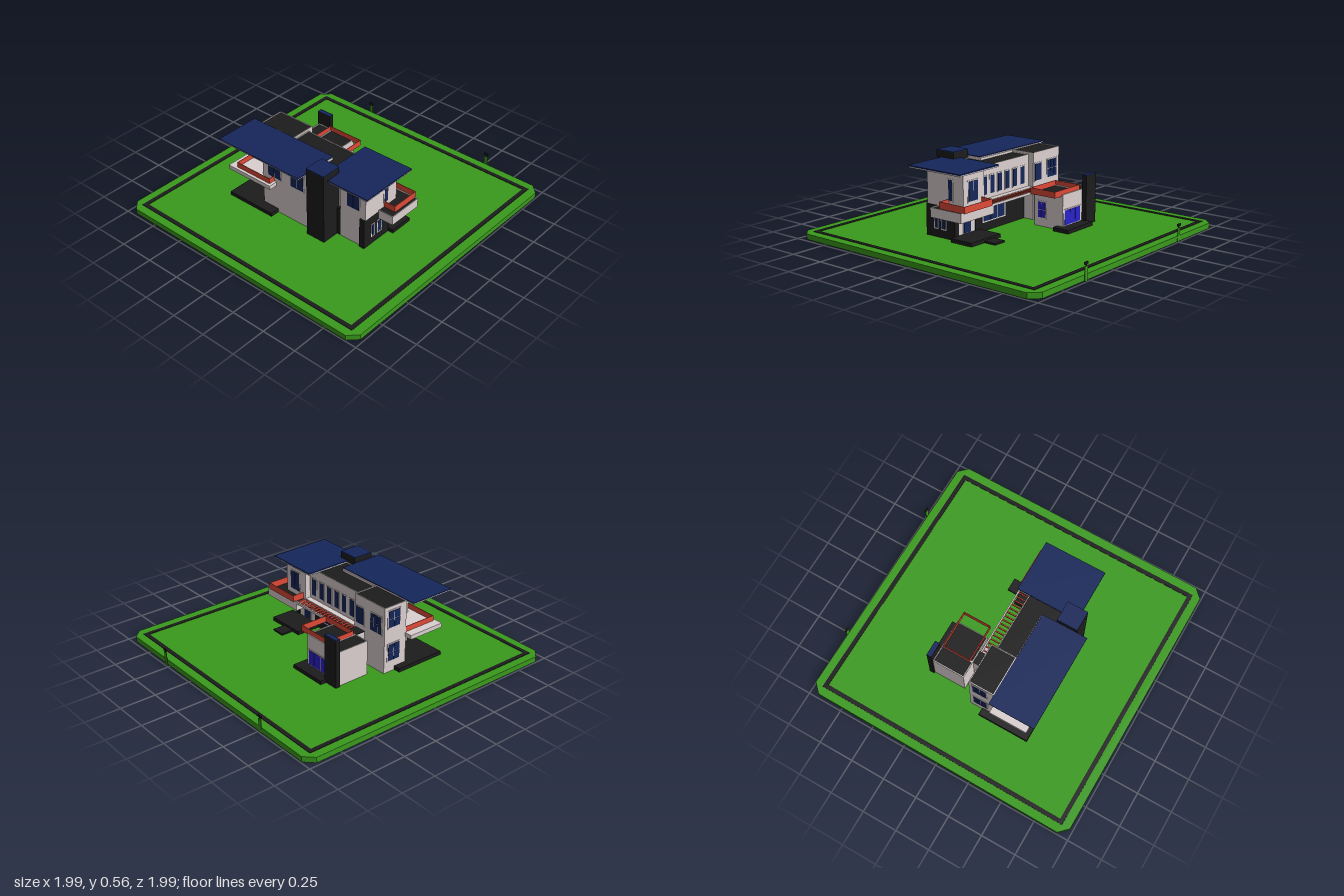
import * as THREE from 'three';

const paint = (color) => new THREE.MeshStandardMaterial({ color, side: THREE.DoubleSide });

export function createModel() {
  const model = new THREE.Group();
  model.name = 'villa';
  const green = paint(0x3a9a1c), navy = paint(0x15265a), black = paint(0x1c1c1c);
  const wall = paint(0xdcd0d0), red = paint(0xe04a38), blue = paint(0x2a22cc);

  // Box given by its limits on each axis
  function block(name, mat, x0, x1, y0, y1, z0, z1, parent = model) {
    const mesh = new THREE.Mesh(new THREE.BoxGeometry(x1 - x0, y1 - y0, z1 - z0), mat);
    mesh.position.set((x0 + x1) / 2, (y0 + y1) / 2, (z0 + z1) / 2);
    mesh.name = name;
    parent.add(mesh);
    return mesh;
  }

  // Open rectangular ring of thin walls
  function ring(name, mat, x0, x1, y0, y1, z0, z1, t, parent = model) {
    const g = new THREE.Group();
    g.name = name;
    block('side', mat, x0, x0 + t, y0, y1, z0, z1, g);
    block('side', mat, x1 - t, x1, y0, y1, z0, z1, g);
    block('end', mat, x0 + t, x1 - t, y0, y1, z0, z0 + t, g);
    block('end', mat, x0 + t, x1 - t, y0, y1, z1 - t, z1, g);
    parent.add(g);
  }

  // Framed window; face is the wall normal axis, dir its sign, at its position
  function pane(face, dir, at, u0, u1, y0, y1, cols = 1, rows = 1, mat = navy) {
    const g = new THREE.Group();
    g.name = 'window';
    const add = (name, m, a, b, c, d, out) => {
      const p = Math.min(at, at + dir * out), q = Math.max(at, at + dir * out);
      if (face === 'x') block(name, m, p, q, c, d, a, b, g);
      else block(name, m, a, b, c, d, p, q, g);
    };
    const f = 0.006, w = (u1 - u0) / cols, h = (y1 - y0) / rows;
    add('frame', wall, u0 - f, u1 + f, y0 - f, y1 + f, 0.003);
    for (let i = 0; i < cols; i++)
      for (let j = 0; j < rows; j++)
        add('glass', mat, u0 + i * w + 0.002, u0 + (i + 1) * w - 0.002,
          y0 + j * h + 0.002, y0 + (j + 1) * h - 0.002, 0.005);
    model.add(g);
  }

  // Flat roof: dark deck inside a pale rim
  function deck(x0, x1, y, z0, z1) {
    block('roofDeck', black, x0 + 0.006, x1 - 0.006, y, y + 0.002, z0 + 0.006, z1 - 0.006);
    ring('roofRim', wall, x0, x1, y, y + 0.008, z0, z1, 0.006);
  }

  // Ground slab with cut corners, and the dark border strip
  const ground = new THREE.Group();
  ground.name = 'ground';
  ground.rotation.y = -0.008;
  const s = 0.987, c = 0.925;
  const outline = new THREE.Shape([[-s, -c], [-c, -s], [c, -s], [s, -c], [s, c], [c, s], [-c, s], [-s, c]]
    .map(([x, y]) => new THREE.Vector2(x, y)));
  const lawn = new THREE.Mesh(
    new THREE.ExtrudeGeometry(outline, { depth: 0.038, bevelEnabled: false }).rotateX(-Math.PI / 2), green);
  lawn.position.y = 0.002;
  lawn.name = 'lawn';
  ground.add(lawn);
  ring('border', black, -0.93, 0.93, 0.035, 0.043, -0.93, 0.925, 0.03, ground);
  model.add(ground);

  // Flat lamp posts on the edge
  for (const z of [0.53, -0.515]) {
    block('lampPost', green, 0.99, 0.994, 0, 0.095, z - 0.014, z + 0.014);
    block('lampNeck', black, 0.99, 0.994, 0.095, 0.106, z - 0.007, z + 0.007);
    block('lampCap', black, 0.988, 0.996, 0.106, 0.122, z - 0.017, z + 0.017);
  }

  // Paved pads and steps
  block('frontPad', black, -0.065, 0.11, 0.03, 0.066, 0.245, 0.53);
  block('frontStep', black, 0.11, 0.2, 0.03, 0.052, 0.31, 0.405);
  block('sidePad', black, 0.285, 0.41, 0.03, 0.066, -0.37, -0.09);
  block('backPad', black, -0.45, -0.08, 0.03, 0.066, -0.57, -0.19);

  // Ground floor of the main house
  block('hallWall', black, -0.3, -0.068, 0, 0.25, -0.23, 0.285);
  block('frontRoom', wall, -0.3, -0.07, 0, 0.255, 0.285, 0.45);
  block('frontRoomWall', black, -0.312, -0.065, 0, 0.258, 0.45, 0.49);
  pane('x', 1, -0.068, -0.015, 0.21, 0.105, 0.21, 3);
  pane('x', 1, -0.07, 0.33, 0.4, 0.066, 0.185);
  pane('z', 1, 0.49, -0.237, -0.212, 0.1, 0.19);
  pane('z', 1, 0.49, -0.178, -0.142, 0.1, 0.19);

  // Upper corridor with its row of windows and shelf
  block('corridor', wall, -0.28, -0.03, 0.25, 0.487, -0.23, 0.285);
  deck(-0.28, -0.03, 0.487, -0.23, 0.22);
  block('shelf', wall, -0.07, 0.01, 0.25, 0.272, -0.23, 0.3);
  for (let i = 0; i < 6; i++) {
    const z = 0.238 - i * 0.079;
    pane('x', 1, -0.03, z - 0.022, z + 0.022, 0.3, 0.423);
  }

  // Upper front room and its roof
  block('upperFrontRoom', wall, -0.3, 0.01, 0.255, 0.492, 0.285, 0.49);
  pane('x', 1, 0.01, 0.35, 0.445, 0.3, 0.435, 2);
  pane('z', 1, 0.49, -0.115, -0.08, 0.3, 0.44);
  pane('x', -1, -0.3, 0.34, 0.44, 0.31, 0.43, 2);
  block('frontRoofSoffit', wall, -0.388, 0.053, 0.492, 0.5, 0.19, 0.57);
  block('frontRoof', navy, -0.39, 0.055, 0.5, 0.508, 0.188, 0.572);

  // Front terrace
  block('terrace', wall, -0.17, 0.09, 0.205, 0.262, 0.285, 0.605);
  deck(-0.17, 0.09, 0.262, 0.285, 0.605);
  ring('terraceRail', red, -0.115, 0.098, 0.264, 0.31, 0.31, 0.58, 0.004);

  // Chimney
  block('chimney', black, -0.43, -0.28, 0, 0.55, 0.11, 0.255);
  block('chimneyCap', navy, -0.43, -0.28, 0.55, 0.556, 0.11, 0.255);

  // West body, balcony and large roof
  block('westBody', wall, -0.38, -0.17, 0, 0.505, -0.32, 0.11);
  pane('x', -1, -0.38, -0.27, -0.16, 0.31, 0.43, 2);
  pane('x', -1, -0.38, -0.07, 0.04, 0.31, 0.43, 2);
  pane('z', -1, -0.32, -0.33, -0.22, 0.29, 0.43, 2);
  pane('z', -1, -0.32, -0.33, -0.22, 0.07, 0.2, 2);
  block('balcony', wall, -0.445, -0.17, 0.25, 0.28, -0.575, -0.2);
  ring('balconyRail', red, -0.425, -0.18, 0.28, 0.318, -0.515, -0.22, 0.004);
  block('westRoofSoffit', wall, -0.503, -0.177, 0.502, 0.51, -0.583, 0.108);
  block('westRoof', navy, -0.505, -0.175, 0.51, 0.515, -0.585, 0.11);

  // Back tower
  block('backTower', wall, -0.175, 0.01, 0, 0.502, -0.52, -0.23);
  deck(-0.175, 0.01, 0.502, -0.52, -0.23);
  pane('x', 1, 0.01, -0.32, -0.245, 0.31, 0.43);
  pane('x', 1, 0.01, -0.49, -0.385, 0.31, 0.435, 3, 2);
  for (const y of [0.12, 0.36]) pane('z', -1, -0.52, -0.12, -0.02, y, y + 0.12, 2, 2);

  // Link and pergola
  block('link', wall, 0.01, 0.1, 0, 0.268, -0.33, -0.24);
  block('linkRoof', black, 0.01, 0.095, 0.268, 0.272, -0.33, -0.24);
  block('pergolaBeam', wall, 0.08, 0.09, 0.255, 0.272, -0.24, 0.3);
  for (let i = 0; i < 17; i++) {
    const z = -0.225 + i * 0.0315;
    block('pergolaSlat', red, 0.01, 0.08, 0.258, 0.27, z, z + 0.008);
  }

  // East wing with parapet rail and fin tower
  block('eastWing', wall, 0.095, 0.33, 0, 0.276, -0.455, -0.137);
  deck(0.095, 0.33, 0.276, -0.455, -0.335);
  deck(0.095, 0.33, 0.276, -0.335, -0.137);
  ring('eastWingRail', red, 0.115, 0.32, 0.272, 0.315, -0.34, -0.065, 0.004);
  pane('x', 1, 0.33, -0.33, -0.155, 0.07, 0.175, 3, 1, blue);
  pane('z', 1, -0.137, 0.125, 0.19, 0.1, 0.21, 2, 2, blue);
  block('finTower', black, 0.33, 0.365, 0, 0.376, -0.465, -0.355);
  block('finCap', navy, 0.33, 0.365, 0.376, 0.381, -0.465, -0.355);

  return model;
}
